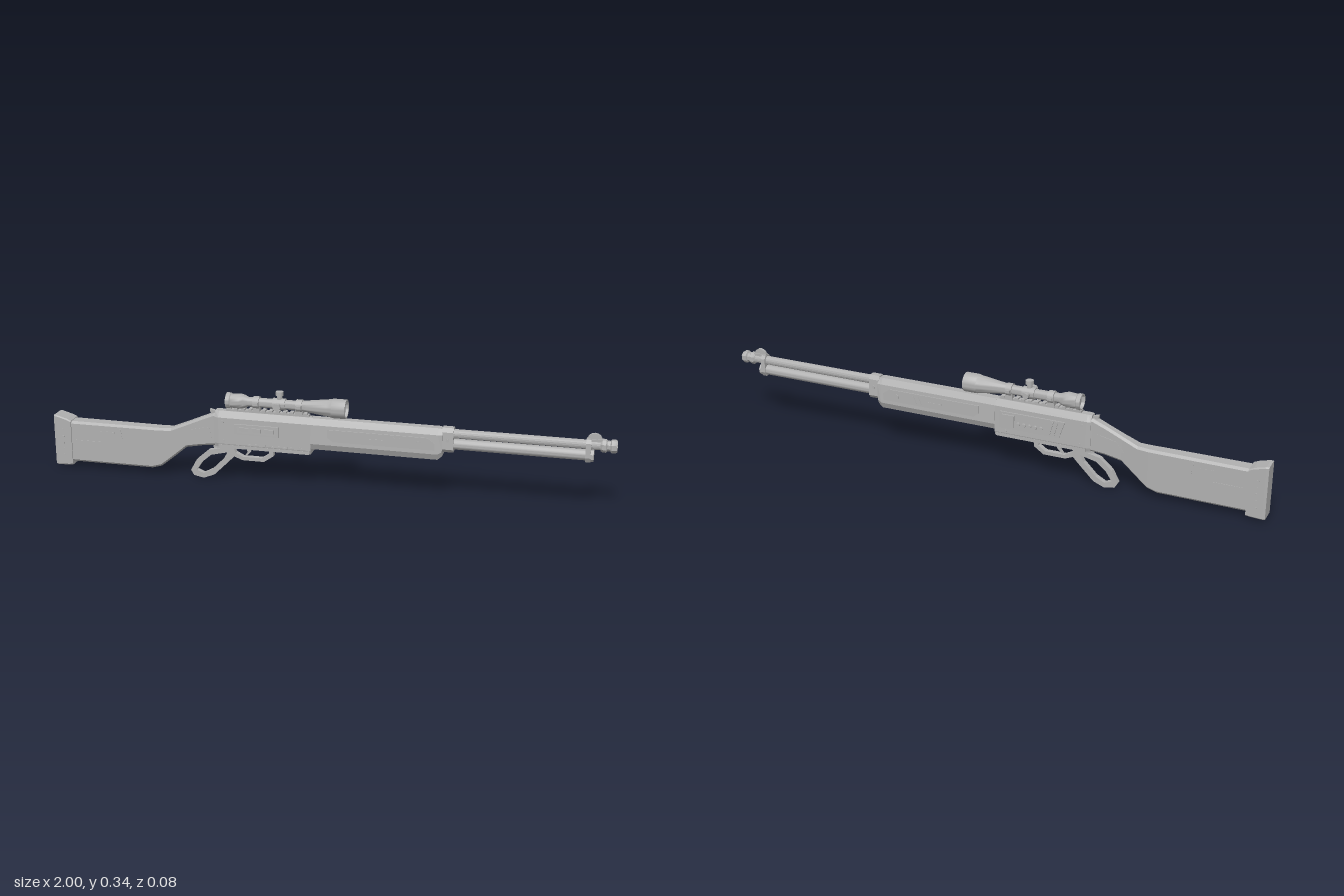
import * as THREE from 'three';
import { toCreasedNormals } from 'three/addons/utils/BufferGeometryUtils.js';

export function createModel() {
  const root = new THREE.Group();
  root.name = 'leverActionRifle';
  const grey = new THREE.MeshStandardMaterial({ color: 0xb0b0b0 });
  grey.name = 'plain grey';

  const add = (name, geo, x = 0, y = 0, z = 0) => {
    const m = new THREE.Mesh(geo, grey);
    m.name = name;
    m.position.set(x, y, z);
    root.add(m);
    return m;
  };
  const box = (name, w, h, d, x, y, z, tilt = 0) => {
    const m = add(name, new THREE.BoxGeometry(w, h, d), x, y, z);
    m.rotation.z = tilt;
    return m;
  };

  // Loft along x; each section is [x, half profile of [y, z] from top to bottom], mirrored in z
  const loft = (name, sections) => {
    const rings = sections.map(([x, half]) => [
      ...half.map(([y, z]) => [x, y, z]),
      ...half.slice().reverse().map(([y, z]) => [x, y, -z]),
    ]);
    const n = rings[0].length, pos = [];
    const tri = (a, b, c) => pos.push(...a, ...b, ...c);
    for (let s = 0; s < rings.length - 1; s++) {
      const a = rings[s], b = rings[s + 1];
      for (let i = 0; i < n; i++) {
        const j = (i + 1) % n;
        tri(a[i], a[j], b[j]);
        tri(a[i], b[j], b[i]);
      }
    }
    const first = rings[0], last = rings[rings.length - 1];
    for (let i = 1; i < n - 1; i++) {
      tri(first[0], first[i + 1], first[i]);
      tri(last[0], last[i], last[i + 1]);
    }
    const g = new THREE.BufferGeometry();
    g.setAttribute('position', new THREE.Float32BufferAttribute(pos, 3));
    g.computeVertexNormals();
    return add(name, g);
  };
  const bevelled = (top, bot, w, c) => [[top, w - c], [top - c, w], [bot + c, w], [bot, w - c]];

  // Turned part along x from [x, radius] pairs
  const turned = (name, pts, y, sides = 20) => {
    const g = new THREE.LatheGeometry(pts.map(([x, r]) => new THREE.Vector2(r, x)), sides, Math.PI / sides);
    g.rotateZ(-Math.PI / 2);
    return add(name, toCreasedNormals(g, 0.6), 0, y, 0);
  };
  const rod = (name, x0, x1, r, y, sides) =>
    turned(name, [[x0, 0], [x0, r], [x1, r], [x1, 0]], y, sides);
  // Round stud pointing along z
  const stud = (name, r, len, x, y, z, sides = 10) =>
    add(name, toCreasedNormals(new THREE.CylinderGeometry(r, r, len, sides).rotateX(Math.PI / 2), 0.7), x, y, z);
  // Flat plate cut in the xy plane, centred on z
  const plate = (name, pts, depth, hole, z = 0) => {
    const s = new THREE.Shape(pts.map(p => new THREE.Vector2(...p)));
    if (hole) s.holes.push(new THREE.Path(hole.map(p => new THREE.Vector2(...p))));
    const g = new THREE.ExtrudeGeometry(s, { depth, bevelEnabled: false, curveSegments: 4 });
    return add(name, g.translate(0, 0, z - depth / 2));
  };

  // Stock, widening from wrist to butt
  loft('stock', [
    [-0.94, bevelled(0.18, 0.027, 0.029, 0.008)],
    [-0.63, bevelled(0.18, 0.027, 0.026, 0.008)],
    [-0.595, bevelled(0.18, 0.037, 0.025, 0.008)],
    [-0.555, bevelled(0.182, 0.069, 0.023, 0.008)],
    [-0.5, bevelled(0.205, 0.115, 0.02, 0.008)],
    [-0.44, bevelled(0.231, 0.126, 0.019, 0.008)],
    [-0.395, bevelled(0.25, 0.131, 0.021, 0.008)],
    [-0.37, bevelled(0.253, 0.133, 0.024, 0.008)],
  ]);
  loft('buttPad', [
    [-1, bevelled(0.2, 0.012, 0.031, 0.004)],
    [-0.99, bevelled(0.2, 0.011, 0.033, 0.004)],
    [-0.95, bevelled(0.189, 0.013, 0.033, 0.004)],
    [-0.935, bevelled(0.182, 0.015, 0.033, 0.004)],
  ]);

  // Receiver
  const receiver = [[0.262, 0.013], [0.24, 0.027], [0.145, 0.029], [0.131, 0.025]];
  loft('receiver', [[-0.39, receiver.map(([y, z]) => [y * 0.99 + 0.002, z * 0.85])], [-0.375, receiver], [-0.04, receiver]]);
  box('receiverFloor', 0.33, 0.012, 0.058, -0.21, 0.136, 0);

  // Forend with sloped nose
  const forend = [[0.261, 0.014], [0.24, 0.027], [0.172, 0.031], [0.15, 0.021]];
  loft('forend', [
    [-0.04, forend], [0.405, forend],
    [0.42, [[0.259, 0.013], [0.24, 0.026], [0.18, 0.027], [0.163, 0.019]]],
  ]);
  const band = [[0.264, 0.011], [0.25, 0.021], [0.19, 0.024], [0.178, 0.014]];
  loft('forendBand', [[0.418, band], [0.457, band]]);

  // Barrel, magazine tube and muzzle
  rod('barrel', 0.4, 0.96, 0.016, 0.242, 16);
  rod('magazineTube', 0.4, 0.92, 0.019, 0.205, 16);
  rod('magazineCap', 0.905, 0.925, 0.021, 0.204, 8);
  turned('muzzleBrake', [[0.945, 0], [0.945, 0.018], [0.951, 0.023], [0.963, 0.023], [0.967, 0.018],
    [0.977, 0.018], [0.981, 0.023], [0.994, 0.023], [1, 0.019], [1, 0.012], [0.985, 0.011], [0.985, 0]], 0.242, 8);
  const frontBand = [[0.262, 0.01], [0.25, 0.02], [0.2, 0.022], [0.183, 0.012]];
  loft('frontBand', [[0.898, frontBand], [0.915, frontBand]]);
  stud('frontSight', 0.026, 0.01, 0.925, 0.257, 0, 16);
  box('frontSightBase', 0.05, 0.01, 0.018, 0.925, 0.259, 0);

  // Lever loop, guard and trigger
  plate('leverLoop',
    [[-0.33, 0.13], [-0.42, 0.109], [-0.465, 0.07], [-0.488, 0.028], [-0.477, 0.009], [-0.44, 0.002],
      [-0.4, 0.018], [-0.345, 0.072], [-0.315, 0.103]], 0.019,
    [[-0.35, 0.106], [-0.41, 0.092], [-0.445, 0.062], [-0.466, 0.03], [-0.44, 0.02], [-0.408, 0.037], [-0.363, 0.082]]);
  plate('triggerGuard',
    [[-0.35, 0.125], [-0.335, 0.098], [-0.295, 0.082], [-0.215, 0.082], [-0.18, 0.106], [-0.18, 0.132],
      [-0.196, 0.132], [-0.196, 0.112], [-0.222, 0.095], [-0.292, 0.095], [-0.322, 0.11], [-0.33, 0.132]], 0.019);
  plate('leverTang', [[-0.4, 0.135], [-0.4, 0.122], [-0.33, 0.116], [-0.31, 0.135]], 0.022);
  plate('trigger', [[-0.283, 0.135], [-0.276, 0.112], [-0.288, 0.096], [-0.279, 0.098], [-0.264, 0.113], [-0.262, 0.135]], 0.009);
  plate('hammer', [[-0.365, 0.25], [-0.385, 0.255], [-0.412, 0.262], [-0.41, 0.25], [-0.39, 0.236], [-0.365, 0.236]], 0.012);

  // Scope rail with teeth
  box('railBase', 0.3, 0.01, 0.022, -0.2, 0.264, 0);
  for (let i = 0; i < 12; i++) box('railTooth', 0.013, 0.007, 0.026, -0.338 + i * 0.025, 0.271, 0);

  // Scope
  const scopeY = 0.298;
  turned('scopeBody', [
    [-0.338, 0], [-0.338, 0.022], [-0.349, 0.024], [-0.349, 0.028], [-0.335, 0.028], [-0.332, 0.025], [-0.3, 0.027],
    [-0.285, 0.024], [-0.27, 0.017], [-0.09, 0.017], [-0.07, 0.019], [0.015, 0.03], [0.03, 0.032], [0.034, 0.034],
    [0.082, 0.034], [0.082, 0.029], [0.072, 0.028], [0.072, 0],
  ], scopeY, 24);
  for (const x of [-0.24, -0.085]) {
    rod('scopeRing', x - 0.011, x + 0.011, 0.022, scopeY, 16);
    box('ringFoot', 0.026, 0.024, 0.026, x, 0.275, 0);
    for (const s of [-1, 1]) box('ringClamp', 0.016, 0.009, 0.009, x, scopeY, s * 0.023);
  }
  rod('turretHousing', -0.18, -0.135, 0.021, scopeY, 16);
  const knob = (r, h) => toCreasedNormals(new THREE.CylinderGeometry(r, r, h, 14), 0.7);
  add('topTurretNeck', knob(0.01, 0.03), -0.157, 0.32, 0);
  add('topTurret', knob(0.014, 0.014), -0.157, 0.337, 0);
  stud('sideTurretNeck', 0.009, 0.03, -0.157, scopeY, 0.023);
  stud('sideTurret', 0.013, 0.012, -0.157, scopeY, 0.038, 14);
  stud('focusKnob', 0.01, 0.02, -0.157, scopeY, -0.028, 14);

  // Ejection port on the left of the receiver
  plate('ejectionPortFrame', [[-0.315, 0.222], [-0.155, 0.222], [-0.155, 0.184], [-0.315, 0.184]], 0.008,
    [[-0.305, 0.215], [-0.165, 0.215], [-0.165, 0.191], [-0.305, 0.191]], 0.029);
  for (let i = 0; i < 3; i++) box('bolt', 0.034, 0.014, 0.006, -0.28 + i * 0.045, 0.203, 0.029);
  for (let i = 0; i < 8; i++) box('lowerDash', 0.014, 0.003, 0.003, -0.26 + i * 0.026, 0.15, 0.029);

  // Raised side panel on the right of the receiver
  plate('receiverPanel', [[-0.3, 0.225], [-0.06, 0.225], [-0.06, 0.165], [-0.28, 0.165]], 0.006, null, -0.029);
  plate('panelFrame', [[-0.115, 0.217], [-0.07, 0.217], [-0.07, 0.173], [-0.115, 0.173]], 0.005,
    [[-0.106, 0.208], [-0.079, 0.208], [-0.079, 0.182], [-0.106, 0.182]], -0.034);
  for (let i = 0; i < 5; i++) stud('panelStud', 0.007, 0.011, -0.13 - i * 0.021, 0.188, -0.034);
  for (let i = 0; i < 2; i++) box('panelSlash', 0.007, 0.05, 0.004, -0.25 - i * 0.016, 0.196, -0.033, 0.25);

  // Details shared by both sides
  for (const s of [-1, 1]) {
    for (const [x, y] of [[-0.355, 0.155], [-0.08, 0.152], [-0.36, 0.225]]) stud('receiverScrew', 0.005, 0.005, x, y, s * 0.0285);
    for (let i = 0; i < 5; i++) stud('buttStud', 0.005, 0.004, -0.967, 0.05 + i * 0.024, s * 0.033);
    box('stockSlash', 0.007, 0.045, 0.003, -0.745, 0.143, s * 0.0268, 0.15);
    for (let i = 0; i < 3; i++) box('stockDash', 0.012, 0.004, 0.003, -0.775 - i * 0.02, 0.15, s * 0.0272);
    box('stockLine', 0.1, 0.003, 0.003, -0.87, 0.11, s * 0.0285);
    plate('wristPanel', [[-0.51, 0.15], [-0.48, 0.185], [-0.41, 0.2], [-0.4, 0.15], [-0.43, 0.138]], 0.004, null, s * 0.019);
    plate('forendPanel', [[0.02, 0.228], [0.37, 0.228], [0.395, 0.21], [0.395, 0.185], [0.04, 0.185], [0.02, 0.2]], 0.005, null, s * 0.0285);
    for (const x of [0.25, 0.27]) box('forendSlash', 0.005, 0.03, 0.003, x, 0.206, s * 0.0315, -0.4);
    stud('forendStud', 0.008, 0.005, 0.34, 0.206, s * 0.031);
    for (let i = 0; i < 3; i++) box('forendDash', 0.012, 0.004, 0.003, 0.17 + i * 0.02, 0.206, s * 0.0315);
    stud('bandScrew', 0.006, 0.006, 0.438, 0.222, s * 0.022);
  }
  return root;
}
